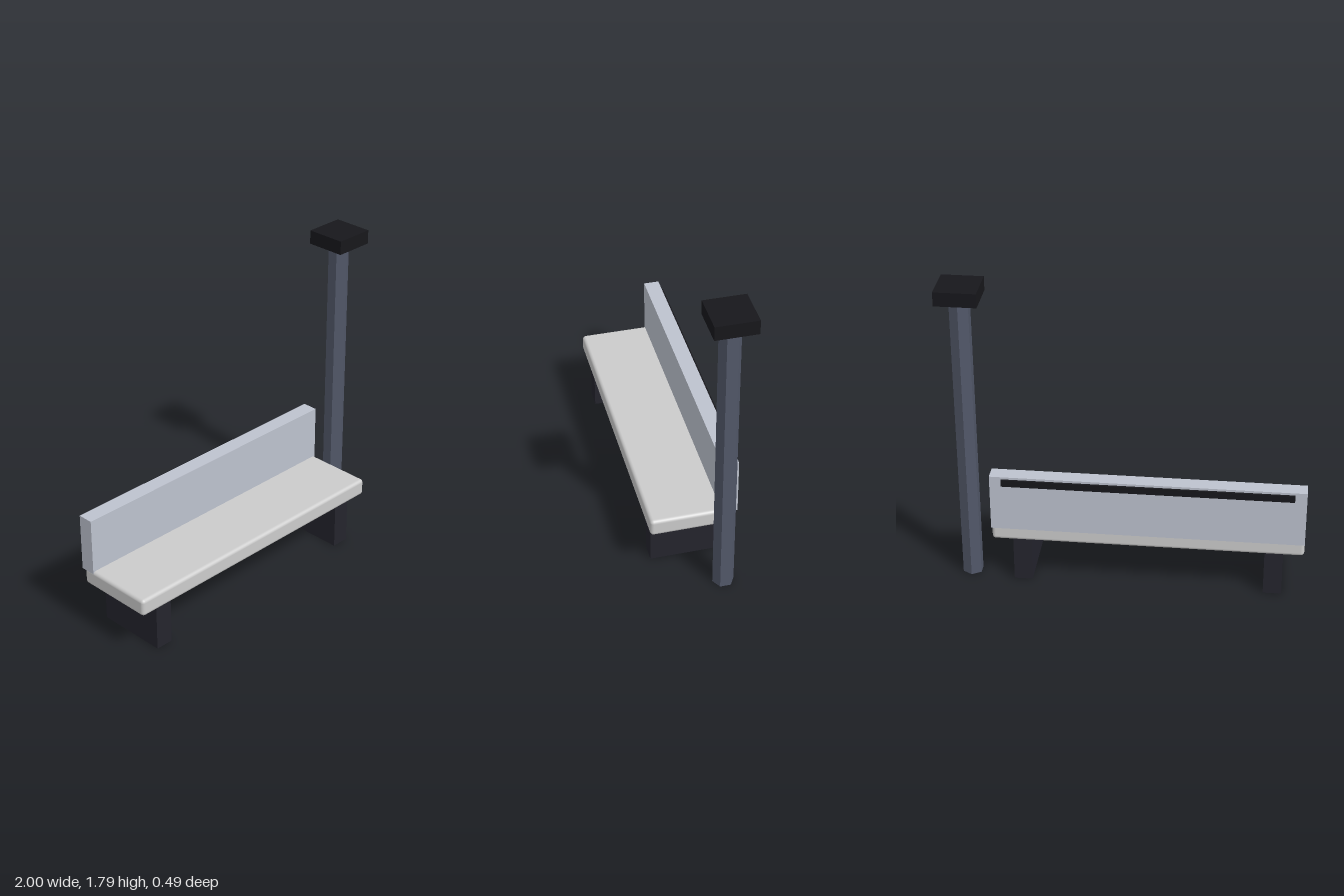
import * as THREE from 'three';
import { RoundedBoxGeometry } from 'three/addons/geometries/RoundedBoxGeometry.js';

const material = (color) => new THREE.MeshStandardMaterial({ color });

export function createModel() {
  const model = new THREE.Group();
  model.name = 'benchWithPost';

  const paint = {
    seat: material(0xd2d2d6),
    back: material(0xbdc2ce),
    dark: material(0x24242d),
    post: material(0x525869),
    black: material(0x17171b),
  };

  const add = (name, geometry, mat, x, y, z) => {
    const mesh = new THREE.Mesh(geometry, mat);
    mesh.name = name;
    mesh.position.set(x, y, z);
    model.add(mesh);
    return mesh;
  };

  // Box given by its extents on each axis
  const addBox = (name, mat, [x0, x1], [y0, y1], [z0, z1], radius = 0) => {
    const size = [x1 - x0, y1 - y0, z1 - z0];
    const geometry = radius
      ? new RoundedBoxGeometry(...size, 3, radius)
      : new THREE.BoxGeometry(...size);
    return add(name, geometry, mat, (x0 + x1) / 2, (y0 + y1) / 2, (z0 + z1) / 2);
  };

  // Bench: soft-edged seat slab, backrest and rear accent strip
  addBox('seat', paint.seat, [-1, 0.747], [0.275, 0.375], [-0.217, 0.247], 0.02);
  addBox('backrest', paint.back, [-1, 0.747], [0.36, 0.693], [-0.235, -0.146]);
  addBox('rearStrip', paint.black, [-0.934, 0.681], [0.64, 0.68], [-0.247, -0.233]);

  // Slab legs, mirrored about the middle of the seat
  for (const [side, name] of [[-1, 'rightLeg'], [1, 'leftLeg']]) {
    const x = -0.126 + side * 0.707;
    addBox(name, paint.dark, [x - 0.052, x + 0.052], [0, 0.28], [-0.19, 0.222]);
  }

  // Hexagonal post with a square cap beside the bench
  const postMaterial = paint.post;
  postMaterial.flatShading = true;
  add('post', new THREE.CylinderGeometry(0.06, 0.06, 1.72, 6), postMaterial, 0.884, 0.86, -0.122);
  addBox('postCap', paint.black, [0.769, 1], [1.713, 1.793], [-0.237, -0.007]);

  return model;
}
